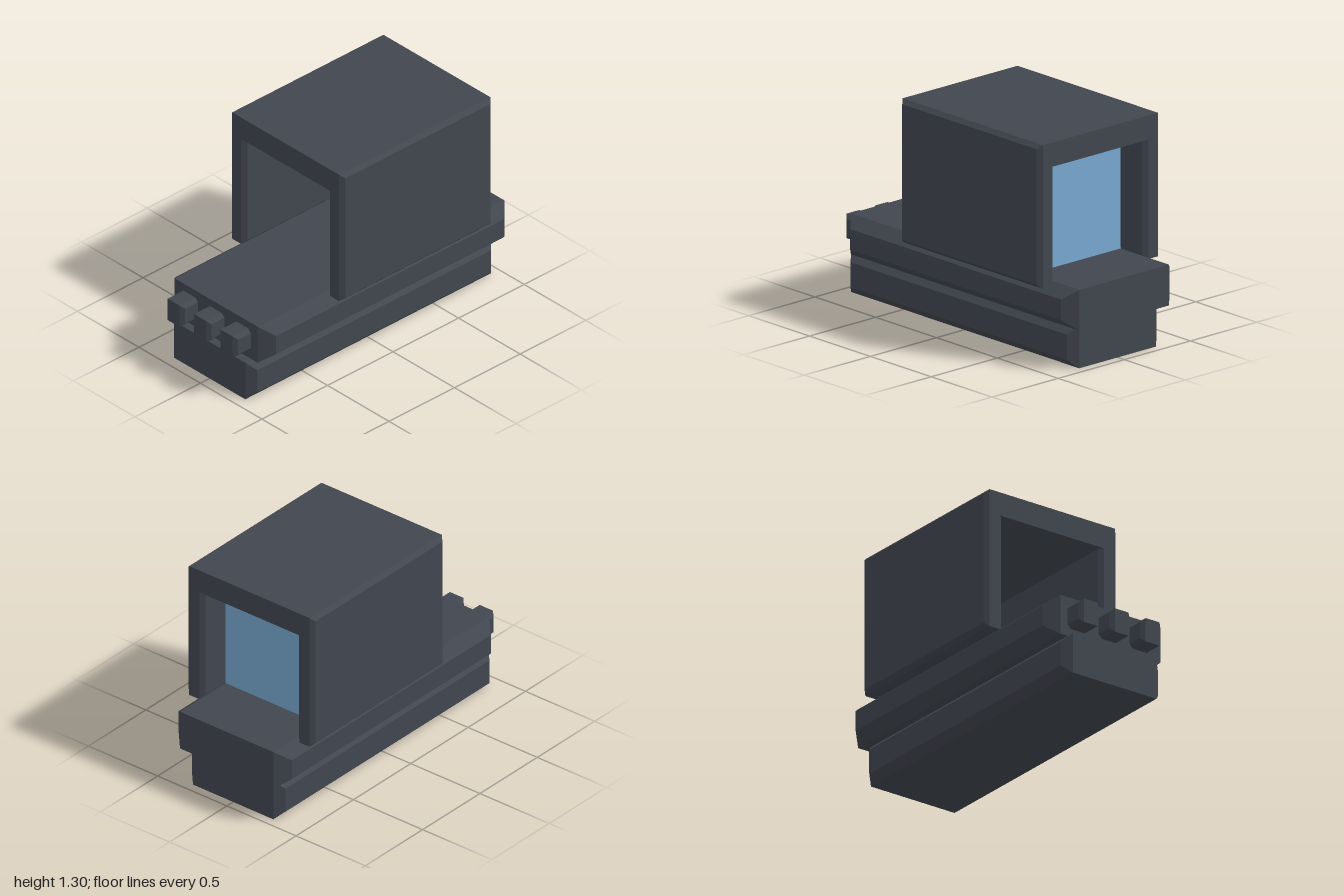
import * as THREE from 'three';

const mat = (name, color) => {
  const m = new THREE.MeshStandardMaterial({ color });
  m.name = name;
  return m;
};

// Box whose front and back (z) faces are inset by a chamfer, given by its outer limits.
function chamferedBox([x0, x1], [y0, y1], [z0, z1], cx, cy = cx, cz = cx) {
  const w = x1 - x0, h = y1 - y0, d = z1 - z0;
  const box = new THREE.BoxGeometry(w, h, d, 1, 1, 3);
  const p = box.attributes.position;
  for (let i = 0; i < p.count; i++) {
    const z = p.getZ(i);
    if (Math.abs(z) > d * 0.4) {
      // end layer: pull the rectangle in
      p.setX(i, Math.sign(p.getX(i)) * (w / 2 - cx));
      p.setY(i, Math.sign(p.getY(i)) * (h / 2 - cy));
    } else {
      // inner layer: full rectangle where the chamfer begins
      p.setZ(i, Math.sign(z) * (d / 2 - cz));
    }
  }
  const geo = box.toNonIndexed();
  geo.computeVertexNormals();
  return geo.translate((x0 + x1) / 2, (y0 + y1) / 2, (z0 + z1) / 2);
}

function plainBox([x0, x1], [y0, y1], [z0, z1]) {
  return new THREE.BoxGeometry(x1 - x0, y1 - y0, z1 - z0)
    .translate((x0 + x1) / 2, (y0 + y1) / 2, (z0 + z1) / 2);
}

export function createModel() {
  const group = new THREE.Group();
  group.name = 'model';
  const dark = mat('dark grey', 0x41464f);
  const blue = mat('glass blue', 0x78a8d0);

  const add = (name, geometry, material = dark) => {
    const mesh = new THREE.Mesh(geometry, material);
    mesh.name = name;
    group.add(mesh);
  };

  // Two stacked hull slabs
  add('lowerHull', chamferedBox([-0.93, 0.945], [0, 0.243], [-0.338, 0.338], 0.048));
  add('upperHull', chamferedBox([-0.88, 1.0], [0.243, 0.482], [-0.41, 0.41], 0.073, 0.059, 0.072));

  // Cabin: two side walls and a roof, open at both ends
  const cabinX = [-0.35, 0.803];
  add('leftOfTravelWall', chamferedBox(cabinX, [0.462, 1.302], [0.338, 0.459], 0.024));
  add('rightOfTravelWall', chamferedBox(cabinX, [0.462, 1.302], [-0.459, -0.338], 0.024));
  add('cabinRoof', plainBox(cabinX, [1.16, 1.302], [-0.362, 0.362]));

  // Recessed window pane
  add('windowPane', plainBox([0.595, 0.603], [0.482, 1.16], [-0.34, 0.34]), blue);

  // Row of three studs on the narrow end
  for (const z of [-0.218, -0.003, 0.212]) {
    add('stud', chamferedBox([-1.0, -0.85], [0.292, 0.435], [z - 0.07, z + 0.07], 0.022));
  }

  return group;
}
